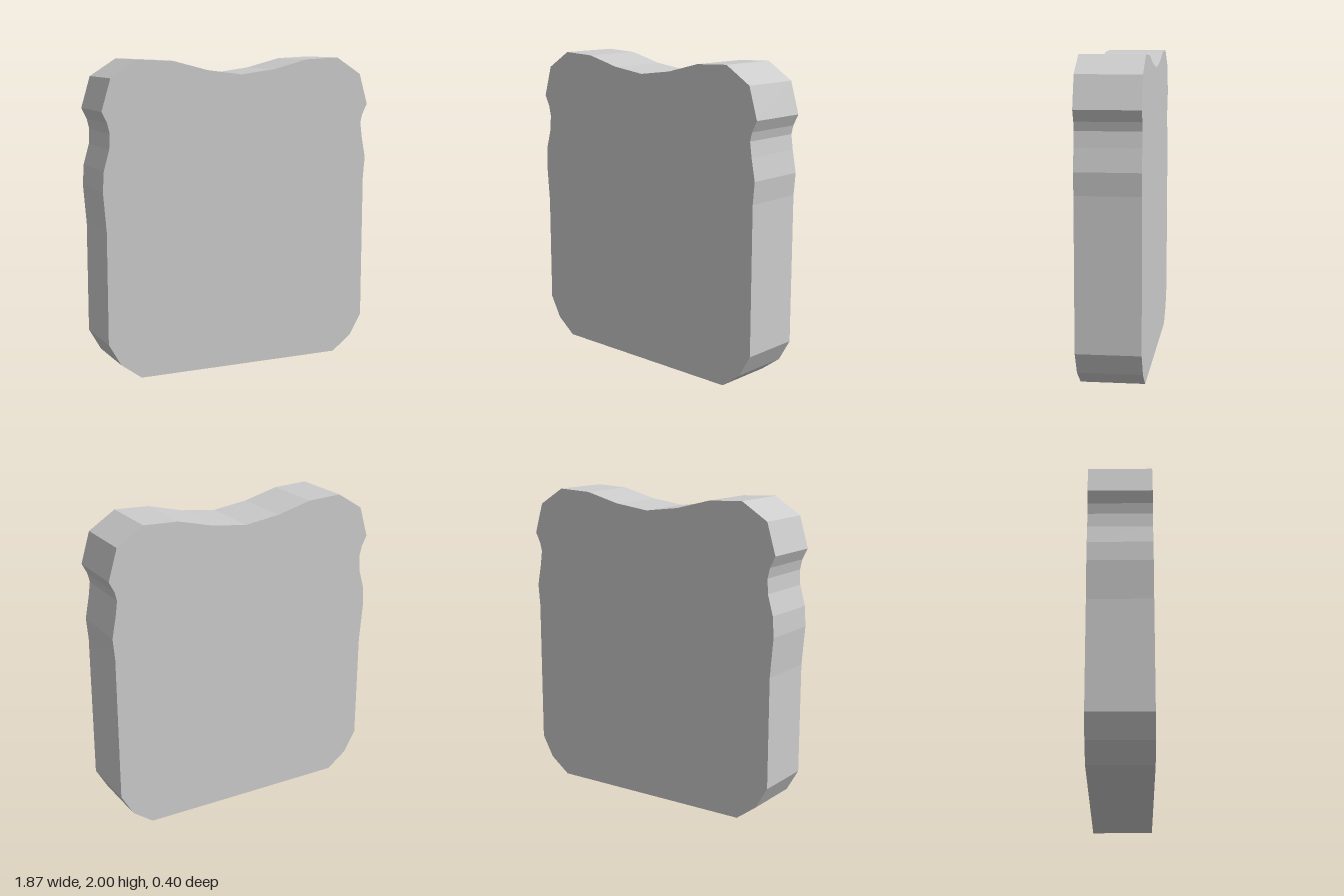
import * as THREE from 'three';

const DEPTH = 0.4;

// Worn outline of the slab, counter-clockwise from the lower corner on +x
const OUTLINE = [
  [0.7, 0], [0.835, 0.1], [0.915, 0.24], [0.915, 1.19], [0.927, 1.33],
  [0.9, 1.47], [0.887, 1.565], [0.9, 1.62], [0.935, 1.69], [0.875, 1.89],
  [0.7, 2], [0.47, 1.99], [0.235, 1.93], [0, 1.9], [-0.235, 1.93],
  [-0.47, 1.99], [-0.7, 2], [-0.875, 1.89], [-0.935, 1.69], [-0.9, 1.62],
  [-0.885, 1.555], [-0.89, 1.46], [-0.927, 1.33], [-0.935, 1.2],
  [-0.915, 0.95], [-0.915, 0.24], [-0.835, 0.1], [-0.7, 0],
];

export function createModel() {
  const model = new THREE.Group();
  model.name = 'stoneSlab';

  // Flat-faced slab of even thickness, centred on z = 0
  const shape = new THREE.Shape(OUTLINE.map(([x, y]) => new THREE.Vector2(x, y)));
  const geometry = new THREE.ExtrudeGeometry(shape, { depth: DEPTH, bevelEnabled: false });
  geometry.translate(0, 0, -DEPTH / 2);

  const material = new THREE.MeshStandardMaterial({ color: 0xcccccc, flatShading: true });
  const slab = new THREE.Mesh(geometry, material);
  slab.name = 'slab';
  model.add(slab);
  return model;
}
